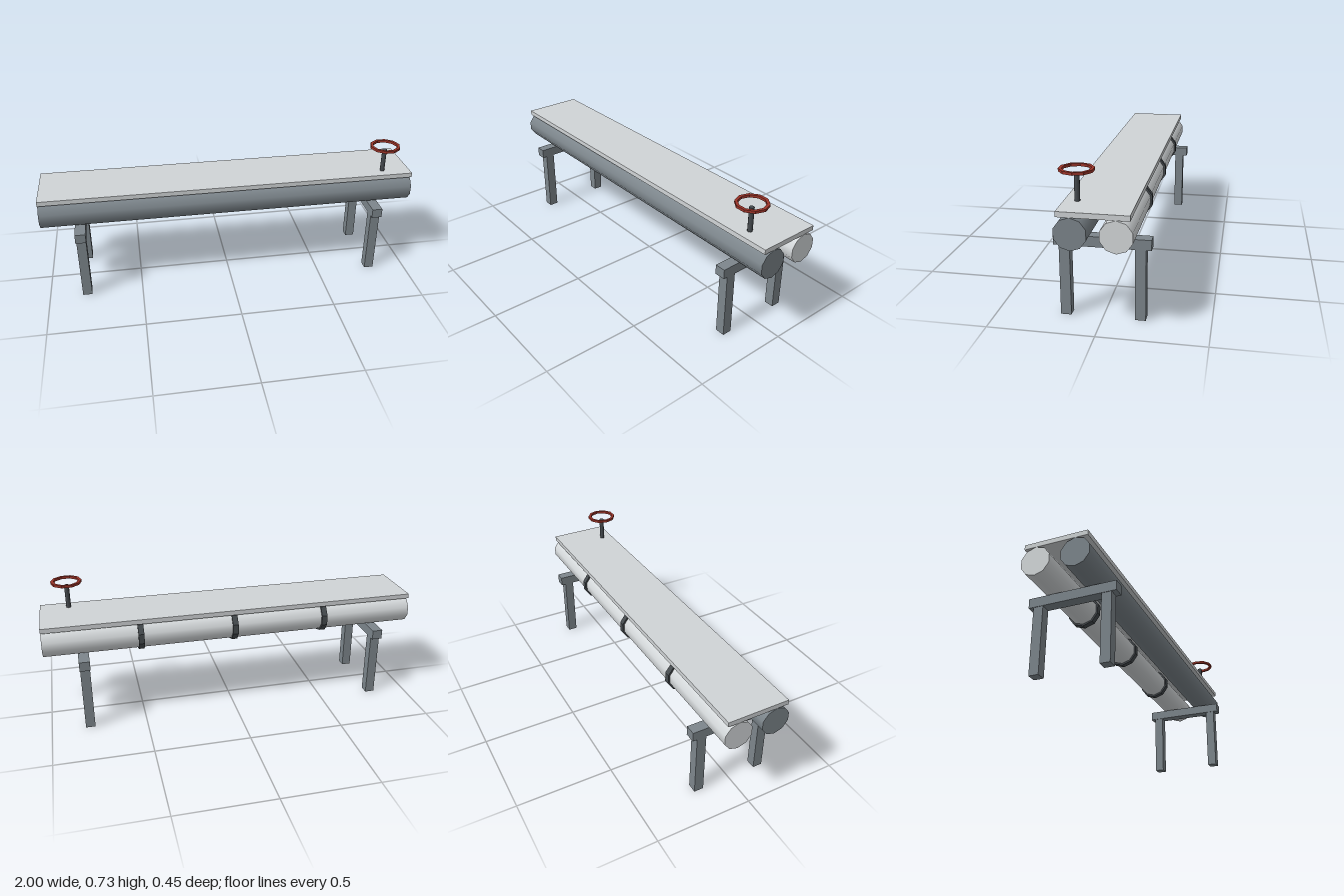
import * as THREE from 'three';

const paint = (color, flatShading = false) => new THREE.MeshStandardMaterial({ color, flatShading });

export function createModel() {
  const model = new THREE.Group();
  const steel = paint(0x7d868c);
  const pale = paint(0xd6dadc);
  const deck = paint(0xd0d4d6);
  const dark = paint(0x454a4e, true);
  const red = paint(0x9a3328, true);

  const add = (name, geometry, material, x, y, z) => {
    const mesh = new THREE.Mesh(geometry, material);
    mesh.name = name;
    mesh.position.set(x, y, z);
    model.add(mesh);
    return mesh;
  };

  // Ten-sided ring of rectangular section around the y axis
  const ring = (inner, outer, height) => {
    const h = height / 2;
    const profile = [[inner, -h], [outer, -h], [outer, h], [inner, h], [inner, -h]];
    return new THREE.LatheGeometry(profile.map(([r, y]) => new THREE.Vector2(r, y)), 10, Math.PI / 2);
  };

  // Trestles: a cross beam on two legs near each end
  for (const x of [-0.8, 0.8]) {
    add('crossBeam', new THREE.BoxGeometry(0.055, 0.05, 0.45), steel, x, 0.375, 0);
    for (const z of [-0.175, 0.175]) {
      add('leg', new THREE.BoxGeometry(0.05, 0.35, 0.05), steel, x, 0.175, z);
    }
  }

  // Two long pipes lying side by side, a corner pointing up
  const pipe = new THREE.CylinderGeometry(0.075, 0.075, 2, 10, 1, false, Math.PI / 2).rotateZ(Math.PI / 2);
  add('frontPipe', pipe, steel, 0, 0.475, 0.1);
  add('backPipe', pipe, pale, 0, 0.475, -0.1);

  // Bands clamped around the back pipe
  const band = ring(0.07, 0.085, 0.03).rotateZ(Math.PI / 2);
  for (const x of [-0.5, 0, 0.5]) add('pipeBand', band, dark, x, 0.475, -0.1);

  // Walkway board across both pipes
  add('walkway', new THREE.BoxGeometry(2, 0.025, 0.32), deck, 0, 0.5625, 0);

  // Valve stem and hand wheel
  const stem = new THREE.CylinderGeometry(0.0125, 0.0125, 0.125, 10, 1, false, Math.PI / 2);
  add('valveStem', stem, paint(0x454a4e), 0.85, 0.6375, 0.1);
  add('handWheel', ring(0.065, 0.08, 0.013), red, 0.85, 0.7185, 0.1);

  return model;
}
